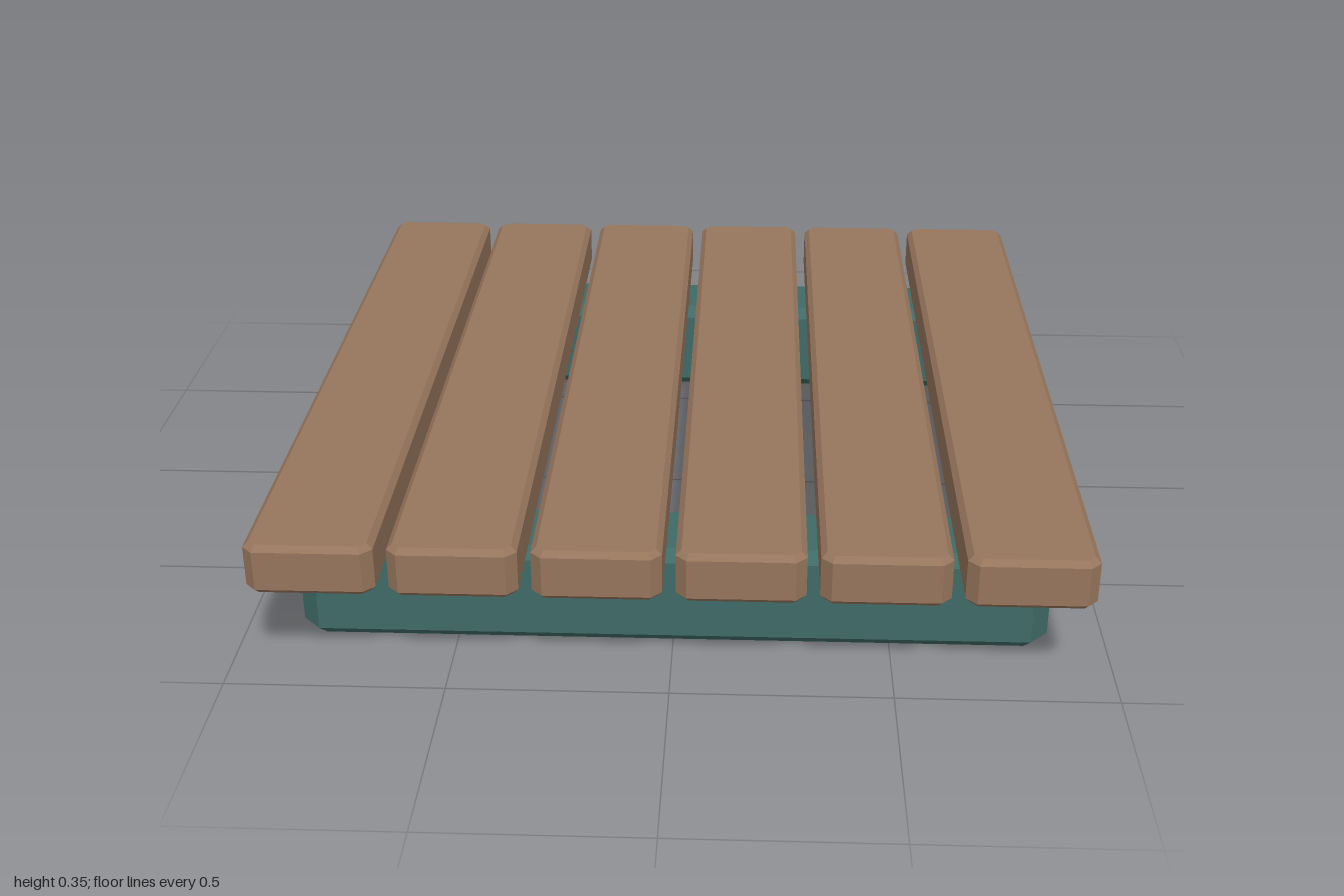
import * as THREE from 'three';

// Box standing on y = 0 with cut vertical corners and bevelled top and bottom edges
function chamferedBox(w, h, d, corner, bevel) {
  const x = w / 2, z = d / 2, c = corner;
  const outline = new THREE.Shape([
    [-x + c, -z], [x - c, -z], [x, -z + c], [x, z - c],
    [x - c, z], [-x + c, z], [-x, z - c], [-x, -z + c],
  ].map(([px, pz]) => new THREE.Vector2(px, pz)));
  const geometry = new THREE.ExtrudeGeometry(outline, {
    depth: h - 2 * bevel,
    bevelEnabled: true,
    bevelSegments: 1,
    bevelSize: bevel,
    bevelThickness: bevel,
    bevelOffset: -bevel,
  });
  geometry.translate(0, 0, bevel);
  geometry.rotateX(-Math.PI / 2);
  return geometry;
}

export function createModel() {
  const model = new THREE.Group();
  model.name = 'slattedPlatform';

  const wood = new THREE.MeshStandardMaterial({ color: 0x96755c });
  wood.name = 'brown wood';
  const teal = new THREE.MeshStandardMaterial({ color: 0x3f6a66 });
  teal.name = 'dark teal paint';

  // Six planks running front to back
  const plankGeometry = chamferedBox(0.285, 0.12, 2, 0.024, 0.013);
  for (let i = 0; i < 6; i++) {
    const plank = new THREE.Mesh(plankGeometry, wood);
    plank.name = `plank${i + 1}`;
    plank.position.set((i - 2.5) * 0.314, 0.235, 0);
    model.add(plank);
  }

  // Two cross beams underneath, tops sunk slightly into the planks
  const beamGeometry = chamferedBox(1.73, 0.245, 0.214, 0.043, 0.026);
  for (const [name, side] of [['frontBeam', 1], ['backBeam', -1]]) {
    const beam = new THREE.Mesh(beamGeometry, teal);
    beam.name = name;
    beam.position.z = side * 0.698;
    model.add(beam);
  }

  return model;
}
